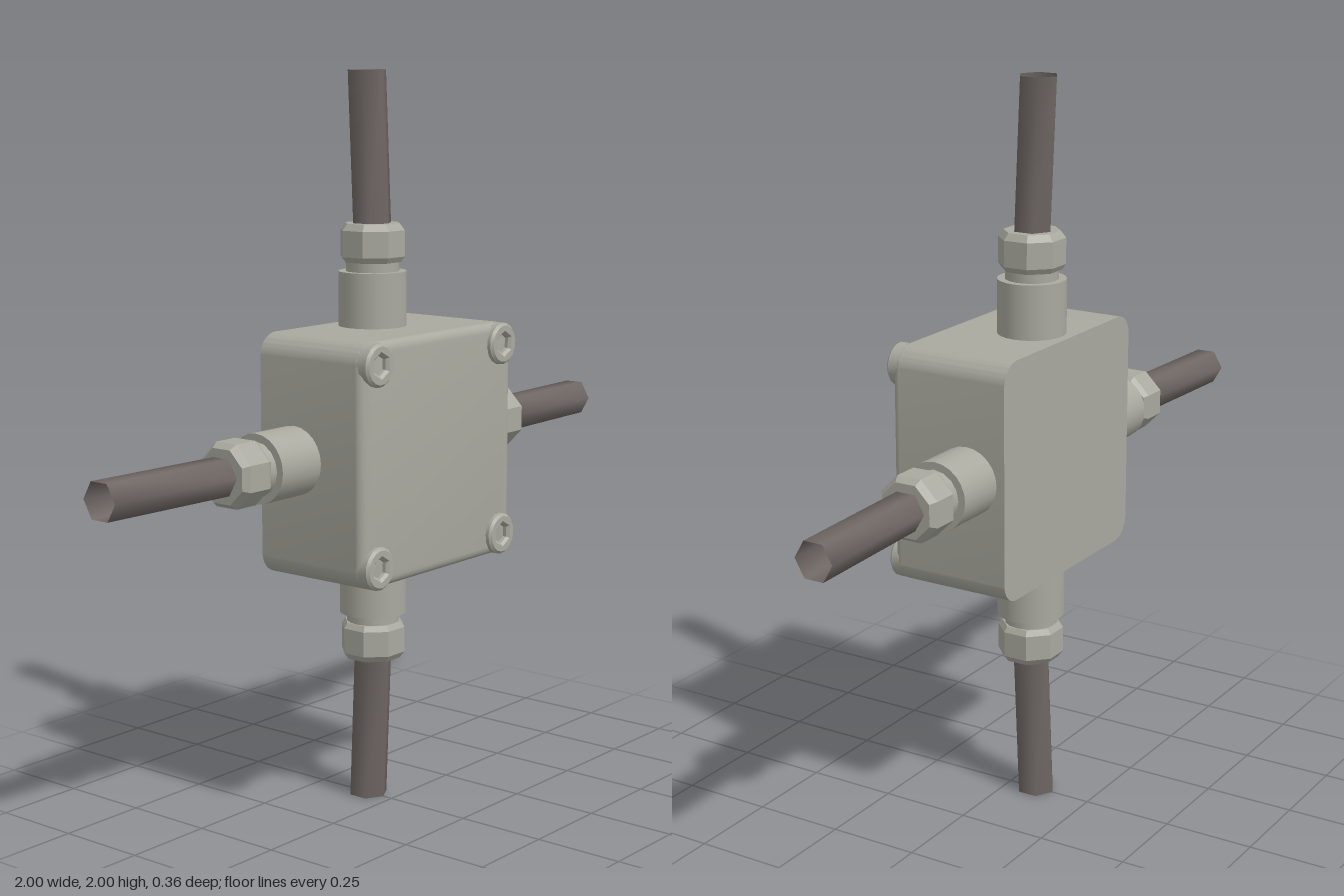
import * as THREE from 'three';
import { toCreasedNormals } from 'three/addons/utils/BufferGeometryUtils.js';

const CENTER_Y = 1, AXIS_Z = -0.065;

function roundedSquare(h, r) {
  const s = new THREE.Shape();
  s.absarc(h - r, h - r, r, 0, Math.PI / 2);
  s.absarc(-h + r, h - r, r, Math.PI / 2, Math.PI);
  s.absarc(-h + r, -h + r, r, Math.PI, Math.PI * 1.5);
  s.absarc(h - r, -h + r, r, Math.PI * 1.5, Math.PI * 2);
  s.closePath();
  return s;
}

export function createModel() {
  const housing = new THREE.MeshStandardMaterial({ color: 0xa9a99f });
  housing.name = 'housingGrey';
  const rubber = new THREE.MeshStandardMaterial({ color: 0x6e6663, side: THREE.DoubleSide });
  rubber.name = 'cableBrown';

  const model = new THREE.Group();
  model.name = 'junctionBox';

  const add = (parent, name, geometry, material, x = 0, y = 0, z = 0) => {
    const mesh = new THREE.Mesh(geometry, material);
    mesh.name = name;
    mesh.position.set(x, y, z);
    parent.add(mesh);
    return mesh;
  };

  // Box: straight walls with a sharp back edge
  const wall = new THREE.ExtrudeGeometry(roundedSquare(0.323, 0.06), {
    depth: 0.32, bevelEnabled: false, curveSegments: 8,
  });
  add(model, 'boxBody', toCreasedNormals(wall, 0.6), housing, 0, CENTER_Y, -0.18);

  // Front cover with a rounded rim; its rear rim is buried in the body
  const cover = new THREE.ExtrudeGeometry(roundedSquare(0.298, 0.035), {
    depth: 0.002, bevelEnabled: true, bevelSize: 0.025, bevelThickness: 0.025,
    bevelSegments: 4, curveSegments: 8,
  });
  add(model, 'frontCover', toCreasedNormals(cover, 0.6), housing, 0, CENTER_Y, 0.138);

  // Corner screws: round head with a hexagonal socket
  const head = new THREE.Shape();
  head.absarc(0, 0, 0.05, 0, Math.PI * 2);
  const socket = new THREE.Path();
  for (let i = 0; i < 6; i++) {
    const a = -i * Math.PI / 3;
    const x = Math.cos(a) * 0.036, y = Math.sin(a) * 0.036;
    i ? socket.lineTo(x, y) : socket.moveTo(x, y);
  }
  socket.closePath();
  head.holes.push(socket);
  const screw = toCreasedNormals(new THREE.ExtrudeGeometry(head, {
    depth: 0.045, bevelEnabled: true, bevelSize: 0.007, bevelThickness: 0.007,
    bevelSegments: 1, curveSegments: 8,
  }), 0.6);
  for (const sx of [-1, 1]) for (const sy of [-1, 1]) {
    const mesh = add(model, 'coverScrew', screw, housing, sx * 0.265, CENTER_Y + sy * 0.265, 0.13);
    mesh.rotation.z = sx * sy * 0.5;
  }

  // Gland stages: [name, start, end, start radius, end radius, sides]
  const stages = [
    ['glandSleeve', 0.30, 0.47, 0.092, 0.092, 24],
    ['glandNeck', 0.46, 0.51, 0.072, 0.072, 16],
    ['nutShoulder', 0.495, 0.51, 0.08, 0.09, 8],
    ['nut', 0.51, 0.58, 0.09, 0.09, 8],
    ['nutChamfer', 0.58, 0.598, 0.09, 0.076, 8],
  ].map(([name, a, b, r0, r1, sides]) => {
    let g = new THREE.CylinderGeometry(r1, r0, b - a, sides);
    if (sides === 8) g.rotateY(Math.PI / 8);
    g.translate(0, (a + b) / 2, 0);
    if (sides === 8) g = toCreasedNormals(g, 0.3);
    return [name, g];
  });

  // Open six-sided cable, leaning slightly back toward its end
  const cable = new THREE.CylinderGeometry(0.054, 0.054, 0.43, 6, 1, true);
  cable.translate(0, 0.785, 0);
  const p = cable.attributes.position;
  for (let i = 0; i < p.count; i++) p.setZ(i, p.getZ(i) - (p.getY(i) - 0.57) * 0.042);
  cable.computeVertexNormals();
  const cableGeometry = toCreasedNormals(cable, 1.2);

  // One gland and cable on each of the four sides
  ['top', 'right', 'bottom', 'left'].forEach((side, i) => {
    const arm = new THREE.Group();
    arm.name = side + 'CableEntry';
    arm.position.set(0, CENTER_Y, AXIS_Z);
    arm.rotation.z = i * Math.PI / 2;
    for (const [name, g] of stages) add(arm, name, g, housing);
    add(arm, 'cable', cableGeometry, rubber);
    model.add(arm);
  });

  return model;
}
